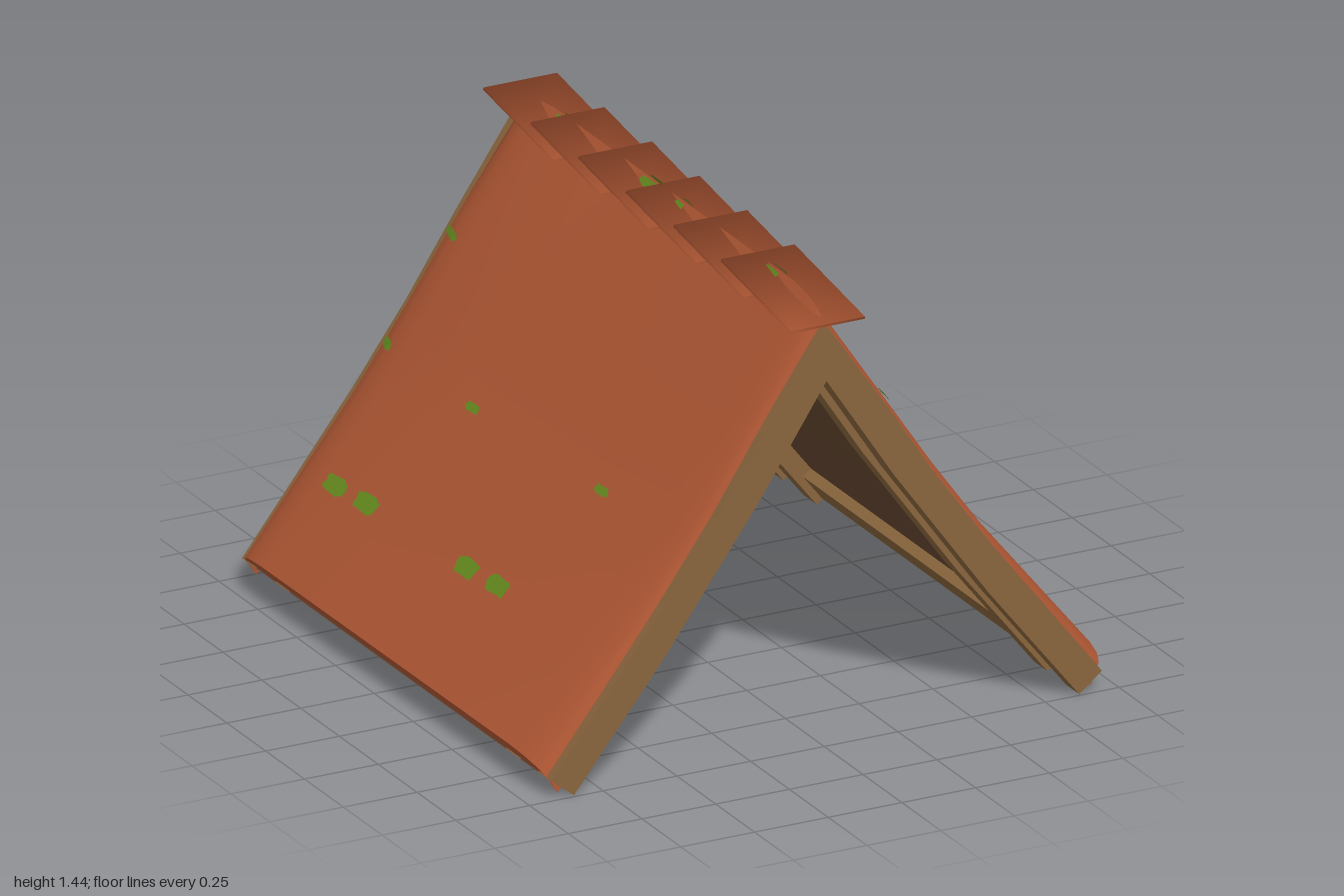
import * as THREE from 'three';
import { toCreasedNormals } from 'three/addons/utils/BufferGeometryUtils.js';

const CX = 0.013; // ridge position in x

// Slope profiles from ridge to eave, as [distance from ridge, height]
const CROWN = [[0, 1.43], [0.24, 1.07], [0.41, 0.82], [0.59, 0.57], [0.967, 0.11]];
const OUTER = [[0, 1.36], [0.212, 1.05], [0.375, 0.80], [0.555, 0.55], [0.935, 0.06]];
const INNER = [[0, 1.18], [0.23, 0.83], [0.40, 0.595], [0.552, 0.385], [0.857, 0]];
const LIFT = [0, 1, 1, 0.95, 0.7];

const lerp = THREE.MathUtils.lerp;
const mix = (a, b, t) => a.map((p, i) => [lerp(p[0], b[i][0], t), lerp(p[1], b[i][1], t)]);

// Linear lookup through [key, value] pairs with ascending keys
function lookup(pairs, k) {
  for (let i = 1; i < pairs.length; i++) {
    const [k0, v0] = pairs[i - 1], [k1, v1] = pairs[i];
    if (k <= k1) return lerp(v0, v1, Math.max(0, (k - k0) / (k1 - k0)));
  }
  return pairs[pairs.length - 1][1];
}

// The covering rolls down at the gables; the right slope rises evenly to the back
const SWELL = [[0.77, 1], [0.86, 0.84], [0.92, 0.6], [0.95, 0.3], [0.966, -0.2], [0.97, -1]];
const swell = (z) => lookup(SWELL, Math.abs(z));
const rise = (z) => lookup([[-0.77, 0.034], [0.77, -0.014]], z);

function section(side, z) {
  const t = swell(z);
  return mix(OUTER, CROWN, t).map(([d, y], i) => {
    const k = side < 0 ? rise(z) * Math.max(0, t) * LIFT[i] : 0;
    return [d + 0.82 * k, y + 0.57 * k];
  });
}

// Curved tile covering of one slope, with a tucked-in lip at the eave
function coveringGeometry(side) {
  const ends = SWELL.map(([z]) => z);
  const zs = [...ends.map((z) => -z).reverse(), -0.4, 0, 0.4, ...ends];
  const pos = [], idx = [];
  for (const z of zs) {
    const pts = [...section(side, z), [0.93, 0.06], [0.9, 0.075]];
    for (const [d, y] of pts) pos.push(CX + side * d, y, z);
  }
  const n = CROWN.length + 2;
  for (let r = 0; r < zs.length - 1; r++) {
    for (let j = 0; j < n - 1; j++) {
      const a = r * n + j, b = a + n, c = a + 1, d = b + 1;
      if (side > 0) idx.push(a, b, c, b, d, c);
      else idx.push(a, c, b, b, c, d);
    }
  }
  const g = new THREE.BufferGeometry();
  g.setAttribute('position', new THREE.Float32BufferAttribute(pos, 3));
  g.setIndex(idx);
  return toCreasedNormals(g, 1.1);
}

// Thin irregular moss patch that follows the covering
function mossGeometry(side, y, z, w, h, seed) {
  const onSlope = (py, pz) => {
    const pairs = section(side, pz).map(([d, yy]) => [yy, d]).reverse();
    return [CX + side * (lookup(pairs, py) + 0.008), py + 0.005, pz];
  };
  const pos = onSlope(y, z), idx = [], n = 14;
  for (let i = 0; i < n; i++) {
    const a = (i / n) * Math.PI * 2;
    const r = 1.05 + 0.12 * Math.sin(i * 2.4 + seed);
    // squarish outline
    const c = Math.cos(a), s = Math.sin(a);
    const u = Math.sign(c) * Math.sqrt(Math.abs(c)), v = Math.sign(s) * Math.sqrt(Math.abs(s));
    pos.push(...onSlope(y + v * r * h / 2, z + u * r * w / 2));
    const p = i + 1, q = (i + 1) % n + 1;
    idx.push(0, ...(side > 0 ? [q, p] : [p, q]));
  }
  const g = new THREE.BufferGeometry();
  g.setAttribute('position', new THREE.Float32BufferAttribute(pos, 3));
  g.setIndex(idx);
  g.computeVertexNormals();
  return g;
}

// Extrudes a closed outline of [x, y] points from z0 to z1
function prism(points, z0, z1) {
  const shape = new THREE.Shape(points.map(([x, y]) => new THREE.Vector2(x, y)));
  const g = new THREE.ExtrudeGeometry(shape, { depth: z1 - z0, bevelEnabled: false });
  return g.translate(0, 0, z0);
}

// Inverted V outline between two slope profiles
function gableOutline(outer, inner) {
  const put = (pts, s) => pts.map(([d, y]) => [CX + s * d, y]);
  return [
    ...put(outer, 1).reverse(), ...put(outer, -1).slice(1),
    ...put(inner, -1).reverse(), ...put(inner, 1).slice(1),
  ];
}

export function createModel() {
  const model = new THREE.Group();
  model.name = 'roof';
  const material = (name, color, side = THREE.FrontSide) => {
    const m = new THREE.MeshStandardMaterial({ color, side });
    m.name = name;
    return m;
  };
  const clay = material('clay red', 0xaf5734, THREE.DoubleSide);
  const wood = material('timber brown', 0x8a653d);
  const darkWood = material('dark board brown', 0x654830);
  const moss = material('moss green', 0x668c1f, THREE.DoubleSide);
  const add = (name, geometry, mat) => {
    const mesh = new THREE.Mesh(geometry, mat);
    mesh.name = name;
    model.add(mesh);
    return mesh;
  };

  // Four pairs of rafters
  for (const [z0, z1] of [[-1, -0.915], [-0.785, -0.7], [0.7, 0.785], [0.905, 0.99]]) {
    add('rafter', prism(gableOutline(OUTER, INNER), z0, z1), wood);
  }

  // Boards lining the underside of the covering
  add('boards', prism(gableOutline(mix(OUTER, INNER, 0.06), mix(OUTER, INNER, 0.4)), -0.96, 0.955), darkWood);

  // Eave beams between the rafters
  const end = OUTER.length - 1;
  const at = (f) => mix(OUTER, INNER, f)[end];
  for (const s of [1, -1]) {
    const [a, b] = [at(0.25), at(0.75)];
    const up = ([d, y]) => [d - 0.066, y + 0.084];
    const quad = [a, up(a), up(b), b].map(([d, y]) => [CX + s * d, y]);
    if (s < 0) quad.reverse();
    add('eaveBeam', prism(quad, -0.95, 0.95), wood);
  }

  // Tile covering and moss on both slopes: [height, z, width, rise]
  const patches = [
    [1.035, -0.87, 0.1, 0.02], [0.72, -0.87, 0.07, 0.024],
    [0.72, 0.46, 0.07, 0.022], [0.715, -0.31, 0.07, 0.022],
    [0.395, 0.28, 0.11, 0.042], [0.39, 0.1, 0.11, 0.044],
    [0.385, -0.5, 0.115, 0.044], [0.38, -0.68, 0.11, 0.042],
    [1.415, -0.7, 0.04, 0.02], [1.415, -0.12, 0.1, 0.022],
    [1.415, 0.07, 0.05, 0.02], [1.415, 0.66, 0.09, 0.02],
  ];
  for (const s of [1, -1]) {
    add(s > 0 ? 'leftCovering' : 'rightCovering', coveringGeometry(s), clay);
    patches.forEach(([y, z, w, h], i) => add('mossPatch', mossGeometry(s, y, z, w, h, i), moss));
  }
  add('mossPatch', mossGeometry(1, 1.035, 0.86, 0.08, 0.018, 5), moss);

  // Overlapping tilted ridge tiles, softly shaded
  for (let i = 0; i < 6; i++) {
    const tile = add('ridgeTile', toCreasedNormals(new THREE.BoxGeometry(0.25, 0.008, 0.458), Math.PI), clay);
    tile.position.set(CX, 1.4, 0.773 - i * 0.306);
    tile.rotation.x = Math.atan2(0.07, 0.455);
  }
  return model;
}
